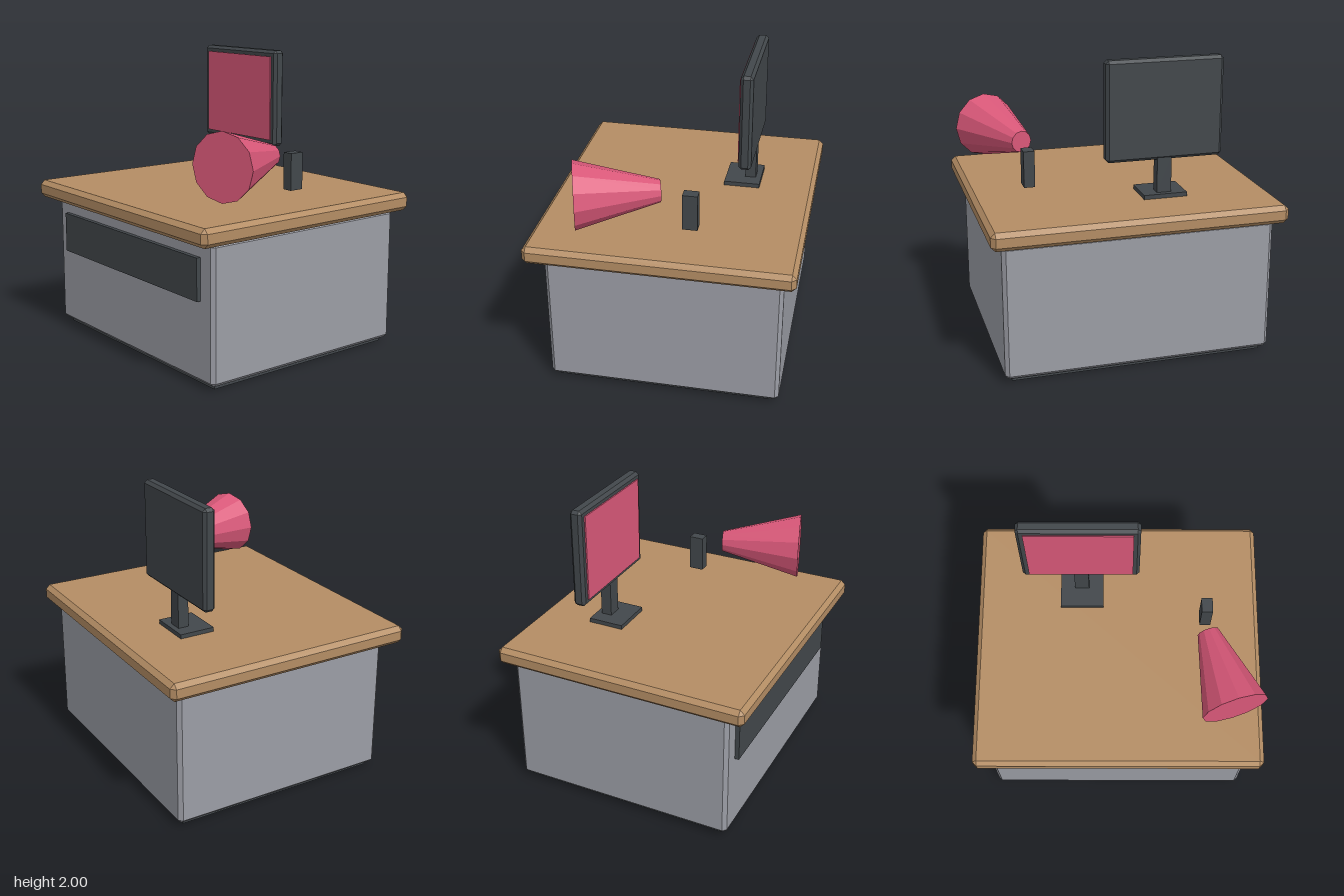
import * as THREE from 'three';
import { ConvexGeometry } from 'three/addons/geometries/ConvexGeometry.js';

const material = (name, color) => {
  const m = new THREE.MeshStandardMaterial({ color });
  m.name = name;
  m.flatShading = true;
  return m;
};

// Box with every edge chamfered by c; each corner becomes a small triangle.
function chamferBox(w, h, d, c) {
  const points = [];
  for (const x of [-1, 1]) for (const y of [-1, 1]) for (const z of [-1, 1]) {
    for (let axis = 0; axis < 3; axis++) {
      const inset = [c, c, c];
      inset[axis] = 0;
      points.push(new THREE.Vector3(
        x * (w / 2 - inset[0]), y * (h / 2 - inset[1]), z * (d / 2 - inset[2])));
    }
  }
  return new ConvexGeometry(points);
}

export function createModel() {
  const wood = material('wood', 0xb48d64);
  const grey = material('grey', 0x9b9da5);
  const dark = material('charcoal', 0x42474b);
  const pink = material('pink', 0xd95879);
  const model = new THREE.Group();
  model.name = 'counter';

  // Block spanning the given [min, max] ranges, with an optional chamfer
  function block(name, mat, [x0, x1], [y0, y1], [z0, z1], chamfer = 0) {
    const size = [x1 - x0, y1 - y0, z1 - z0];
    const geometry = chamfer ? chamferBox(...size, chamfer) : new THREE.BoxGeometry(...size);
    const mesh = new THREE.Mesh(geometry, mat);
    mesh.name = name;
    mesh.position.set((x0 + x1) / 2, (y0 + y1) / 2, (z0 + z1) / 2);
    model.add(mesh);
  }

  // Cabinet
  block('plinth', dark, [-0.86, 0.86], [0, 0.04], [-0.757, 0.71]);
  block('cabinetBody', grey, [-0.908, 0.908], [0.028, 0.945], [-0.804, 0.758], 0.025);
  block('frontPanel', dark, [-0.785, 0.785], [0.562, 0.84], [0.75, 0.787]);
  block('countertop', wood, [-0.985, 0.985], [0.943, 1.066], [-0.885, 0.885], 0.03);

  // Monitor on its stand
  block('monitorBase', dark, [-0.405, -0.106], [1.064, 1.095], [-0.505, -0.257]);
  block('monitorNeck', dark, [-0.305, -0.206], [1.09, 1.34], [-0.467, -0.392]);
  block('monitorFrame', dark, [-0.657, 0.145], [1.323, 2], [-0.473, -0.387], 0.02);
  block('screen', pink, [-0.61, 0.1], [1.366, 1.957], [-0.387, -0.378]);

  // Scanner: upright grip and a tapered twelve-sided head turned to the side
  block('scannerGrip', dark, [0.565, 0.64], [1.12, 1.37], [-0.204, -0.103]);
  const head = new THREE.Mesh(
    new THREE.CylinderGeometry(0.226, 0.074, 0.556, 12).rotateX(Math.PI / 2), pink);
  head.name = 'scannerHead';
  head.position.set(0.685, 1.371, 0.31);
  head.rotation.y = 0.3;
  model.add(head);

  return model;
}
